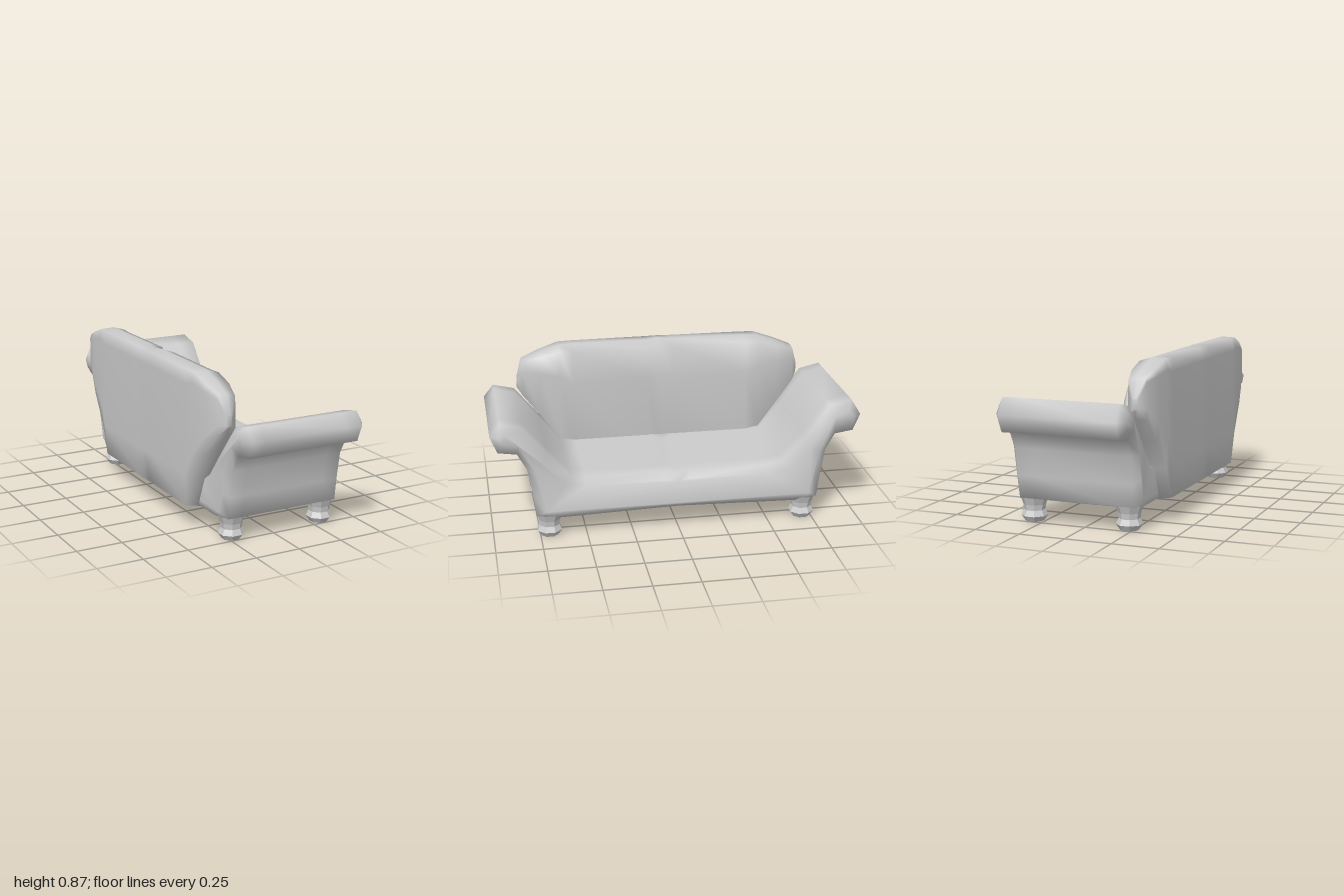
import * as THREE from 'three';

const grey = new THREE.MeshStandardMaterial({ color: 0xcccccc });
const faceted = new THREE.MeshStandardMaterial({ color: 0xcccccc, flatShading: true });

// Skin a list of equal-length rings, closing both ends with the ring's 2D outline.
// Outlines run counter-clockwise when looked at from the last ring's side.
function loft(rings, place) {
  const n = rings[0].length;
  const positions = [];
  const index = [];
  rings.forEach((ring) => ring.forEach((p) => positions.push(...place(p))));
  for (let r = 0; r < rings.length - 1; r++) {
    for (let i = 0; i < n; i++) {
      const a = r * n + i, b = r * n + (i + 1) % n;
      index.push(a, b, b + n, a, b + n, a + n);
    }
  }
  const outline = (ring) => ring.map((p) => new THREE.Vector2(p[0], p[1]));
  const last = (rings.length - 1) * n;
  for (const [a, b, c] of THREE.ShapeUtils.triangulateShape(outline(rings[0]), [])) index.push(a, c, b);
  for (const [a, b, c] of THREE.ShapeUtils.triangulateShape(outline(rings[rings.length - 1]), [])) {
    index.push(last + a, last + b, last + c);
  }
  const geometry = new THREE.BufferGeometry();
  geometry.setAttribute('position', new THREE.Float32BufferAttribute(positions, 3));
  geometry.setIndex(index);
  geometry.computeVertexNormals();
  return geometry;
}

// Mirror half an outline; the arm on the mirrored side rolls over slightly lower.
function mirrorOutline(half) {
  const other = half.slice(1, -1).reverse().map(([u, y]) => [-u, y > 0.61 ? y - 0.02 : y]);
  return [...half, ...other];
}

// Seat and scrolled arms: one outline swept from back to front with rounded ends
function createBody() {
  const outer = mirrorOutline([
    [0, 0.11], [0.68, 0.108], [0.77, 0.13], [0.785, 0.25], [0.81, 0.4],
    [0.86, 0.49], [0.96, 0.505], [0.998, 0.595], [0.945, 0.682], [0.83, 0.655],
    [0.7, 0.48], [0.58, 0.335], [0.5, 0.32], [0.06, 0.32], [0, 0.3],
  ]);
  const inner = mirrorOutline([
    [0, 0.13], [0.66, 0.13], [0.72, 0.16], [0.745, 0.27], [0.77, 0.4],
    [0.85, 0.545], [0.93, 0.555], [0.955, 0.595], [0.925, 0.635], [0.855, 0.6],
    [0.72, 0.43], [0.61, 0.3], [0.5, 0.28], [0.06, 0.28], [0, 0.265],
  ]);
  // The arms stand a little proud of the seat front
  const front = (u) => 0.35 + 0.04 * THREE.MathUtils.smoothstep(Math.abs(u), 0.54, 0.72);
  const ring = (outline, x) => outline.map(([u, y]) => [u, y, x(u)]);
  const rings = [
    ring(inner, () => -0.31),
    ring(outer, () => -0.275),
    ring(outer, () => -0.2),
    ring(outer, (u) => front(u) - 0.12),
    ring(outer, (u) => front(u) - 0.03),
    ring(inner, front),
  ];
  return loft(rings, ([u, y, x]) => [x, y, -u]);
}

// Backrest: cross-sections along z, with a crease between the two cushions
function createBackrest() {
  // z, bottom, top, back x, front x
  const side = [
    [0.81, 0.63, 0.69, -0.315, -0.285],
    [0.78, 0.58, 0.79, -0.355, -0.25],
    [0.68, 0.45, 0.83, -0.378, -0.225],
    [0.57, 0.29, 0.868, -0.385, -0.222],
    [0.5, 0.12, 0.87, -0.39, -0.222],
    [0.07, 0.12, 0.872, -0.39, -0.222],
  ];
  const stations = [
    ...side.map(([z, ...rest]) => [-z, ...rest]),
    [0, 0.12, 0.872, -0.39, -0.27],
    ...side.slice().reverse(),
  ];
  const rings = stations.map(([z, bottom, top, back, front]) => {
    const h = top - bottom, w = front - back;
    return [
      [back + 0.06 * w, bottom + 0.02 * h], [back + 0.55 * w, bottom],
      [front, bottom + 0.06 * h], [front, bottom + 0.72 * h],
      [front - 0.04 * w, top - 0.035 * h], [back + 0.55 * w, top],
      [back + 0.09 * w, top - 0.005 * h], [back + 0.03 * w, top - 0.1 * h],
      [back, bottom + 0.25 * h],
    ].map((p) => [...p, z]);
  });
  return loft(rings, (p) => p);
}

// Stubby eight-sided foot
function createFoot() {
  const profile = [[0, 0], [0.05, 0], [0.07, 0.03], [0.056, 0.06], [0.06, 0.09], [0.075, 0.13]];
  return new THREE.LatheGeometry(profile.map(([r, y]) => new THREE.Vector2(r, y)), 8, Math.PI / 8);
}

export function createModel() {
  const model = new THREE.Group();
  model.name = 'sofa';
  const add = (name, geometry, material) => {
    const mesh = new THREE.Mesh(geometry, material);
    mesh.name = name;
    model.add(mesh);
    return mesh;
  };
  add('seatAndArms', createBody(), grey);
  add('backrest', createBackrest(), grey);
  const foot = createFoot();
  for (const [end, x] of [['front', 0.31], ['back', -0.225]]) {
    for (const z of [-0.7, 0.7]) {
      add(`${end}${z < 0 ? 'Left' : 'Right'}Foot`, foot, faceted).position.set(x, 0, z);
    }
  }
  return model;
}
